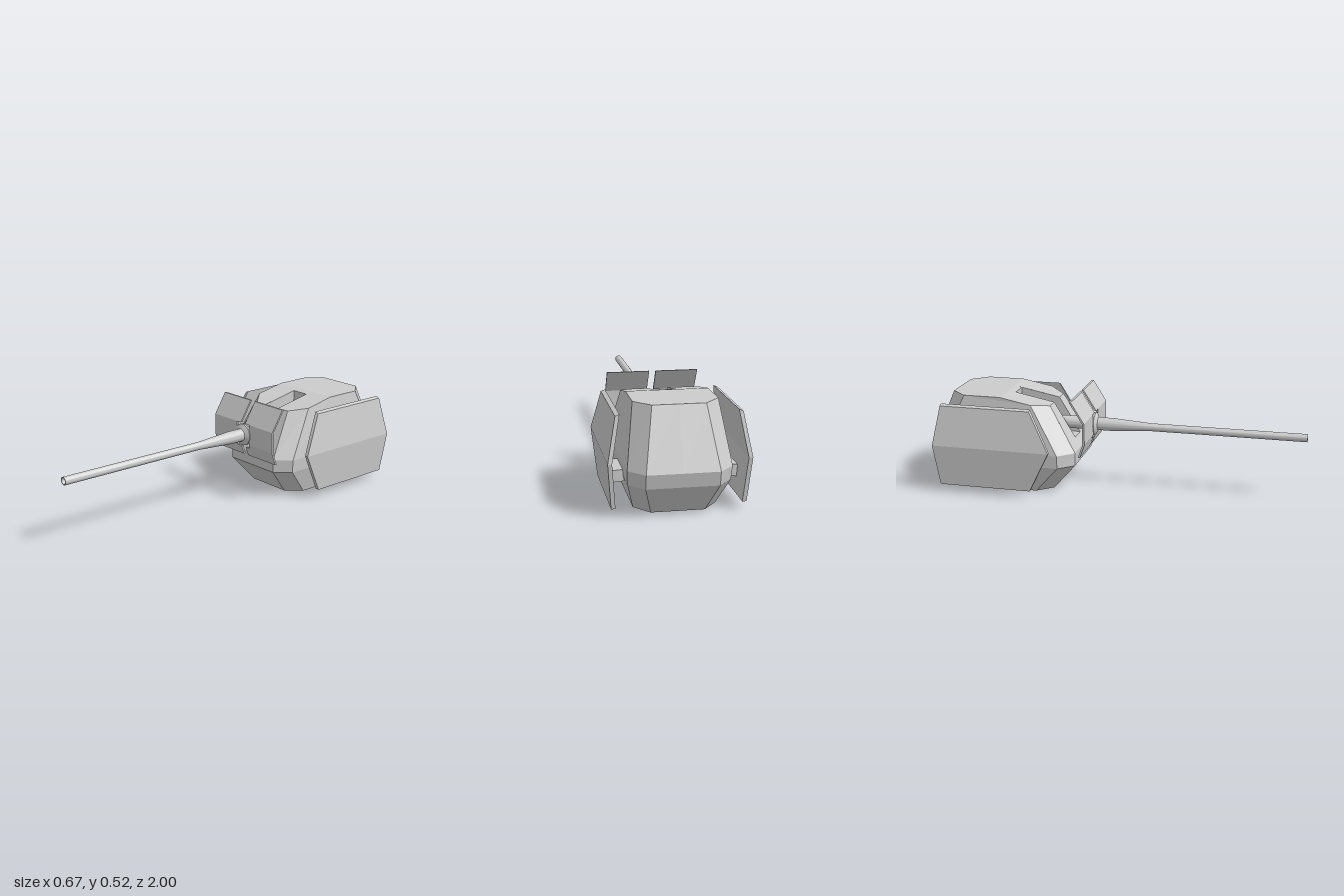
import * as THREE from 'three';
import { toCreasedNormals } from 'three/addons/utils/BufferGeometryUtils.js';

const material = new THREE.MeshStandardMaterial({ color: 0xcccccc });

function add(group, name, geometry) {
  const mesh = new THREE.Mesh(geometry, material);
  mesh.name = name;
  group.add(mesh);
  return mesh;
}

const flip = (face) => face.map(([x, y, z]) => [-x, y, z]).reverse();

// Flat-shaded surface from convex polygons, each split into a fan
function facesGeometry(faces) {
  const pos = [];
  for (const f of faces)
    for (let i = 1; i < f.length - 1; i++) pos.push(...f[0], ...f[i], ...f[i + 1]);
  const g = new THREE.BufferGeometry();
  g.setAttribute('position', new THREE.Float32BufferAttribute(pos, 3));
  g.computeVertexNormals();
  return g;
}

// Half of a chamfered rectangle, from the front centre round to the back centre
function halfRing(y, c, w, front, frontSide, backSide, back) {
  return [[0, y, front], [c, y, front], [w, y, frontSide],
    [w, y, backSide], [c, y, back], [0, y, back]];
}

function turretGeometry() {
  const base = halfRing(0, 0.127, 0.197, -0.33, -0.41, -0.79, -0.875);
  const low = halfRing(0.15, 0.17, 0.24, -0.2, -0.28, -0.905, -0.985);
  const belt = halfRing(0.22, 0.17, 0.243, -0.2, -0.28, -0.92, -1);
  const roof = halfRing(0.51, 0.125, 0.2, -0.345, -0.43, -0.8, -0.885);
  roof[1][1] = 0.46;
  roof[2][1] = 0.477;
  const fold = [0.2, 0.51, -0.6], foldMid = [0, 0.51, -0.6], foldSlot = [0.05, 0.51, -0.6];
  // Corners of the gun slot
  const s = 0.05;
  const sill = [s, 0.27, -0.23], sillMid = [0, 0.27, -0.23], sillEnd = [0.161, 0.27, -0.23];
  const lip = [s, 0.46, -0.345];
  const rear = [s, 0.502, -0.56], rearMid = [0, 0.502, -0.56];
  const floor = [s, 0.27, -0.56], floorMid = [0, 0.27, -0.56];

  const half = [[...base].reverse()];
  const quad = (a, b, i) => half.push([a[i], a[i + 1], b[i + 1], b[i]]);
  for (let i = 0; i < 5; i++) {
    quad(base, low, i);
    quad(low, belt, i);
  }
  for (const i of [1, 3, 4]) quad(belt, roof, i);
  half.push(
    [belt[2], belt[3], roof[3], fold, roof[2]],
    // front plate around the slot
    [belt[0], belt[1], sillEnd, sill, sillMid],
    [sill, sillEnd, roof[1], lip],
    // roof
    [lip, roof[1], roof[2], fold, foldSlot],
    [rearMid, rear, foldSlot, foldMid],
    [foldMid, fold, roof[3], roof[4], roof[5]],
    // slot floor, wall and end
    [sillMid, sill, floor, floorMid],
    [floor, sill, lip, rear],
    [floorMid, floor, rear, rearMid],
  );
  return facesGeometry([...half, ...half.map(flip)]);
}

// Bent side armour plate
function sidePlateGeometry(side) {
  const outer = [[0.333, 0.26, -0.3], [0.315, 0.04, -0.41], [0.315, 0.04, -0.91],
    [0.333, 0.26, -0.94], [0.293, 0.47, -0.9], [0.293, 0.47, -0.41]];
  const inner = outer.map(([x, y, z]) => [x - 0.02, y > 0.4 ? y + 0.008 : y, z]);
  const pick = (ring, ids) => ids.map((i) => ring[i]);
  const faces = [pick(outer, [0, 1, 2, 3]), pick(outer, [0, 3, 4, 5]),
    pick(inner, [3, 2, 1, 0]), pick(inner, [5, 4, 3, 0])];
  for (let i = 0; i < 6; i++) {
    const j = (i + 1) % 6;
    faces.push([outer[i], inner[i], inner[j], outer[j]]);
  }
  return facesGeometry(side > 0 ? faces : faces.map(flip));
}

// Thin bent sheet: a (z, y) line thickened backwards and extruded along x
function sheetGeometry(line, x0, x1) {
  const t = 0.011;
  const pts = [...line, ...line.map(([z, y]) => [z - t, y]).reverse()];
  const shape = new THREE.Shape(pts.map(([z, y]) => new THREE.Vector2(-z, y)));
  const g = new THREE.ExtrudeGeometry(shape, { depth: x1 - x0, bevelEnabled: false });
  return g.rotateY(Math.PI / 2).translate(x0, 0, 0);
}

// Turned part along the gun axis, from (radius, z) points
function turned(points) {
  const g = new THREE.LatheGeometry(points.map(([r, z]) => new THREE.Vector2(r, z)), 32);
  return toCreasedNormals(g.rotateX(Math.PI / 2).translate(0, 0.34, 0), 0.5);
}

export function createModel() {
  const model = new THREE.Group();
  model.name = 'gunTurret';
  add(model, 'turretBody', turretGeometry());

  // Gun with hollow muzzle, collar and trunnion
  add(model, 'gunBarrel', turned([[0, -0.56], [0.033, -0.56], [0.035, -0.04], [0.021, 0.18],
    [0.021, 1], [0.016, 1], [0.016, 0.9], [0, 0.9]]));
  add(model, 'gunCollar', turned([[0, -0.15], [0.04, -0.15], [0.06, -0.137],
    [0.06, -0.127], [0.036, -0.112]]));
  const pin = new THREE.CylinderGeometry(0.018, 0.018, 0.1, 16).rotateZ(Math.PI / 2);
  add(model, 'gunTrunnion', pin).position.set(0, 0.34, -0.483);

  // Gun shield: two bent halves notched around the barrel
  const top = [[-0.2, 0.517], [-0.13, 0.405]];
  const foot = [[-0.137, 0.27], [-0.155, 0.22]];
  const full = [...top, [-0.13, 0.29], foot[1]];
  for (const side of [1, -1]) {
    const sheet = (line, a, b) =>
      sheetGeometry(line, Math.min(side * a, side * b), Math.max(side * a, side * b));
    const shield = new THREE.Group();
    shield.name = side > 0 ? 'leftShield' : 'rightShield';
    add(shield, 'shieldPanel', sheet(full, 0.05, 0.235));
    add(shield, 'shieldUpperTab', sheet(top, 0.017, 0.05));
    add(shield, 'shieldLowerTab', sheet(foot, 0.017, 0.05));
    model.add(shield);

    // Side armour on its bracket
    const armour = new THREE.Group();
    armour.name = side > 0 ? 'leftArmour' : 'rightArmour';
    add(armour, 'armourPlate', sidePlateGeometry(side));
    const bracket = add(armour, 'armourBracket', new THREE.BoxGeometry(0.085, 0.057, 0.175));
    bracket.position.set(side * 0.265, 0.151, -0.687);
    bracket.rotation.z = -side * 0.08;
    model.add(armour);
  }
  return model;
}
